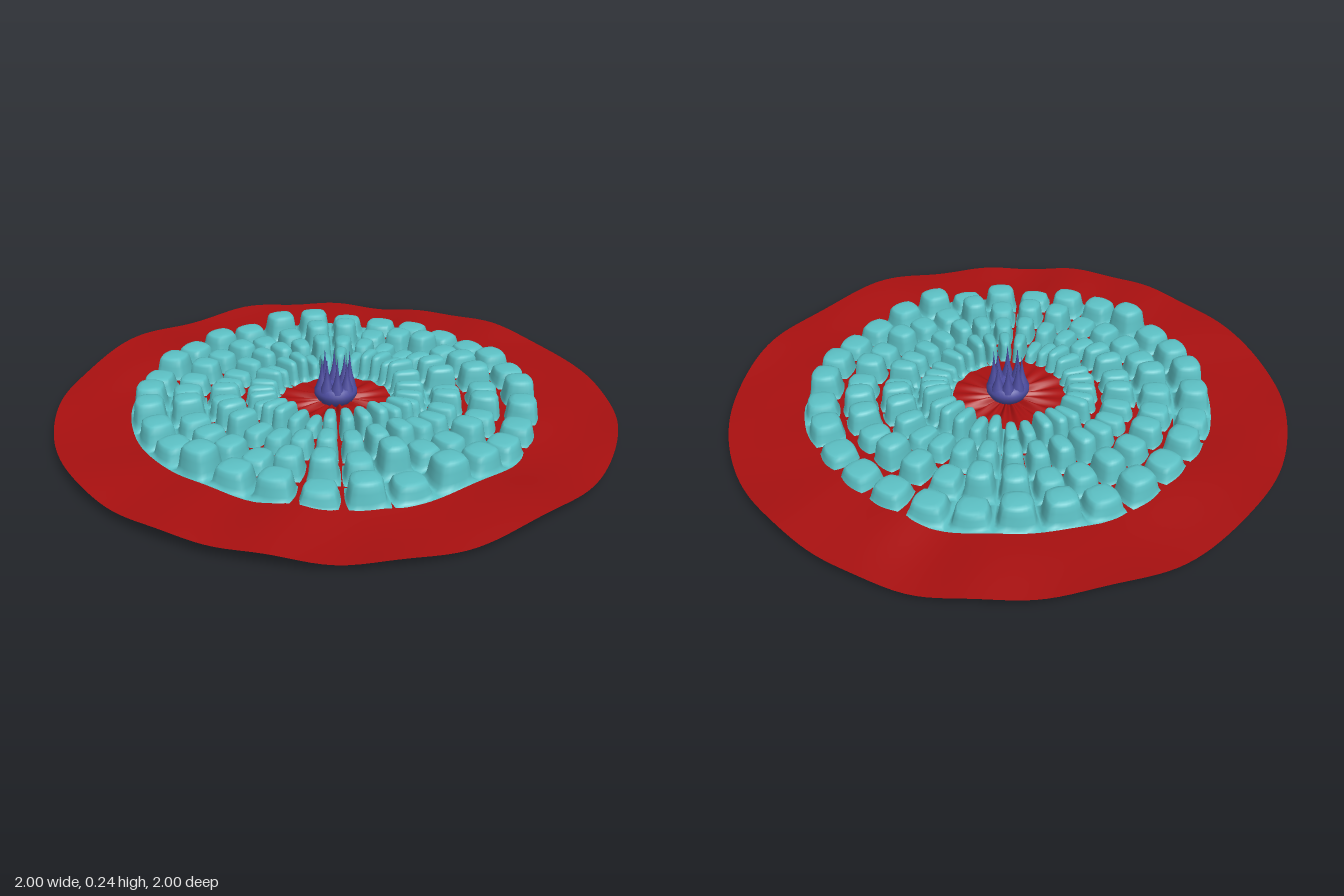
import * as THREE from 'three';
import { mergeVertices } from 'three/addons/utils/BufferGeometryUtils.js';

const material = (color) => new THREE.MeshStandardMaterial({ color, side: THREE.DoubleSide });

function seeded(seed) {
  return () => (seed = (seed * 16807) % 2147483647) / 2147483647;
}

// Height of the rippled cloth at a point
function clothHeight(x, z) {
  const r = Math.hypot(x, z), a = Math.atan2(x, z);
  const swell = 0.007 * Math.sin(5.3 * x + 2.1 * z + 1) + 0.006 * Math.sin(7.9 * z - 3.7 * x)
    + 0.003 * Math.sin(13 * x + 9 * z);
  const rim = 0.007 * r * r * (Math.sin(13 * a + 2 * Math.sin(2 * a)) + 0.5 * Math.sin(7 * a + 1));
  // Tight radial folds round the middle
  const near = Math.max(0, 1 - r / 0.3) * Math.min(1, r / 0.08);
  const folds = 0.011 * near * (Math.sin(17 * a) + 0.6 * Math.sin(11 * a + 2));
  return 0.038 + swell + rim + folds;
}

// Height of the knobbly sheet, weaving above and below the cloth
function sheetHeight(x, z) {
  return clothHeight(x, z) - 0.002 + 0.007 * Math.sin(6.1 * x - 4.3 * z + 0.6)
    + 0.005 * Math.sin(9 * z + 5 * x + 2);
}

function smooth(geometry) {
  geometry.deleteAttribute('normal');
  geometry.deleteAttribute('uv');
  const merged = mergeVertices(geometry, 1e-4);
  merged.computeVertexNormals();
  return merged;
}

function clothGeometry() {
  const geo = new THREE.RingGeometry(0, 1, 180, 60).rotateX(-Math.PI / 2);
  const p = geo.attributes.position;
  for (let i = 0; i < p.count; i++) p.setY(i, clothHeight(p.getX(i), p.getZ(i)));
  return smooth(geo);
}

// Annular sheet divided into polar cells, each raised into a rounded knob
function knobGeometry() {
  const rings = 4, around = 30, sides = 24, inner = 0.2, outer = 0.735;
  const dr = (outer - inner) / rings, da = (Math.PI * 2) / around;
  // Loops inside each cell: scale, rise, roundness
  const loops = [[1, 0, 0], [0.91, 0.06, 0.4], [0.86, 0.25, 0.55], [0.8, 0.6, 0.6],
    [0.75, 0.85, 0.65], [0.66, 0.96, 0.7], [0.45, 1.01, 0.8], [0.0, 1.03, 1]];
  const rand = seeded(4711);
  const pos = [], index = [];
  for (let j = 0; j < rings; j++) {
    for (let k = 0; k < around; k++) {
      const start = pos.length / 3;
      const rc = inner + (j + 0.5) * dr, ac = k * da;
      const height = 0.05 + 0.048 * rand();
      const baseY = sheetHeight(rc * Math.sin(ac), rc * Math.cos(ac));
      for (const [scale, rise, round] of loops) {
        for (let i = 0; i < sides; i++) {
          const t = (i / sides) * Math.PI * 2, c = Math.cos(t), s = Math.sin(t);
          const square = 1 / Math.max(Math.abs(c), Math.abs(s));
          const m = scale * (square + (1 - square) * round);
          const r = rc + (c * m * dr) / 2, a = ac + (s * m * da) / 2;
          const x = r * Math.sin(a), z = r * Math.cos(a);
          const y = sheetHeight(x, z) * (1 - rise) + (baseY + height) * rise;
          pos.push(x, y, z);
        }
      }
      for (let l = 0; l < loops.length - 1; l++) {
        for (let i = 0; i < sides; i++) {
          const n = (i + 1) % sides;
          const a = start + l * sides + i, b = start + l * sides + n;
          const c = b + sides, d = a + sides;
          index.push(a, b, c);
          if (l < loops.length - 2) index.push(a, c, d);
        }
      }
    }
  }
  const geo = new THREE.BufferGeometry();
  geo.setAttribute('position', new THREE.Float32BufferAttribute(pos, 3));
  geo.setIndex(index);
  return smooth(geo);
}

const lathe = (points, sides) =>
  new THREE.LatheGeometry(points.map(([x, y]) => new THREE.Vector2(x, y)), sides);

export function createModel() {
  const model = new THREE.Group();
  model.name = 'spikedDisc';
  const add = (parent, name, geo, mat) => {
    const mesh = new THREE.Mesh(geo, mat);
    mesh.name = name;
    parent.add(mesh);
    return mesh;
  };

  add(model, 'cloth', clothGeometry(), material(0xa81010));
  add(model, 'knobs', knobGeometry(), material(0x5cc0c4));

  // Central bulb with a crown of eight spikes
  const crown = new THREE.Group();
  crown.name = 'crown';
  model.add(crown);
  const purple = material(0x4a4a9c);
  add(crown, 'bulb', lathe([[0, 0], [0.012, 0.012], [0.04, 0.03], [0.064, 0.05], [0.077, 0.072],
    [0.078, 0.088], [0.068, 0.104], [0.05, 0.112], [0.025, 0.106], [0, 0.1]], 32), purple);

  const spike = lathe([[0.025, 0], [0.02, 0.02], [0.012, 0.045], [0.007, 0.07],
    [0.003, 0.1], [0, 0.135]], 10);
  const lengths = [1, 0.9, 1.05, 0.84, 0.95, 1.02, 0.88, 0.98];
  lengths.forEach((length, i) => {
    const a = ((i + 0.5) * Math.PI) / 4;
    const mesh = add(crown, 'spike', spike, purple);
    mesh.position.set(0.05 * Math.sin(a), 0.095, 0.05 * Math.cos(a));
    mesh.scale.y = length;
  });
  return model;
}
